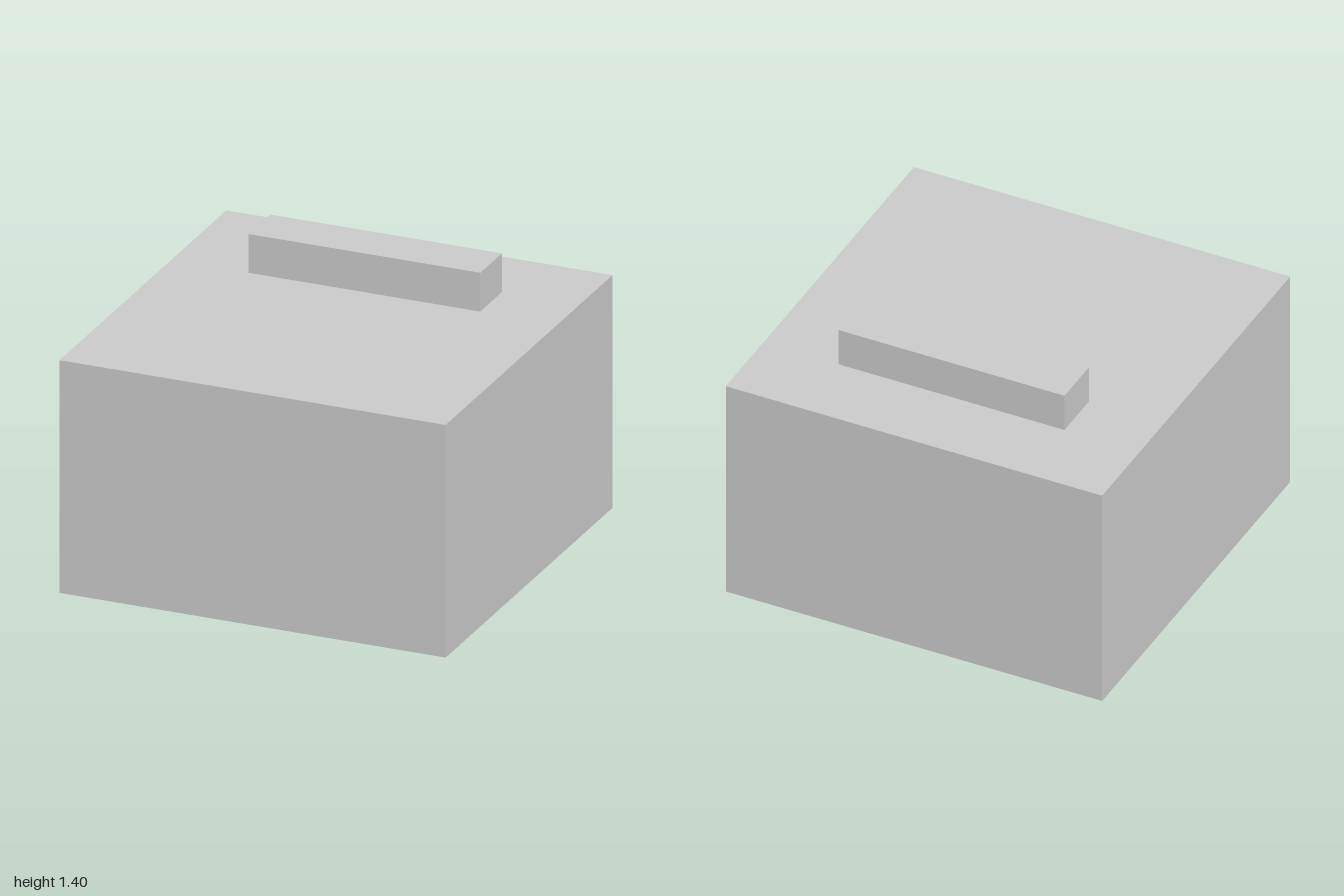
import * as THREE from 'three';

const material = new THREE.MeshStandardMaterial({ color: 0xcccccc });

// Box given by its size and the position of its base centre
function block(name, [w, h, d], [x, y, z]) {
  const mesh = new THREE.Mesh(new THREE.BoxGeometry(w, h, d), material);
  mesh.position.set(x, y + h / 2, z);
  mesh.name = name;
  return mesh;
}

export function createModel() {
  const group = new THREE.Group();
  group.name = 'blockWithBar';
  group.add(
    // Large square body
    block('body', [2, 1.2, 2], [0, 0, 0]),
    // Raised bar on top, towards the back
    block('topBar', [1.2, 0.2, 0.26], [0, 1.2, -0.47]),
  );
  return group;
}
